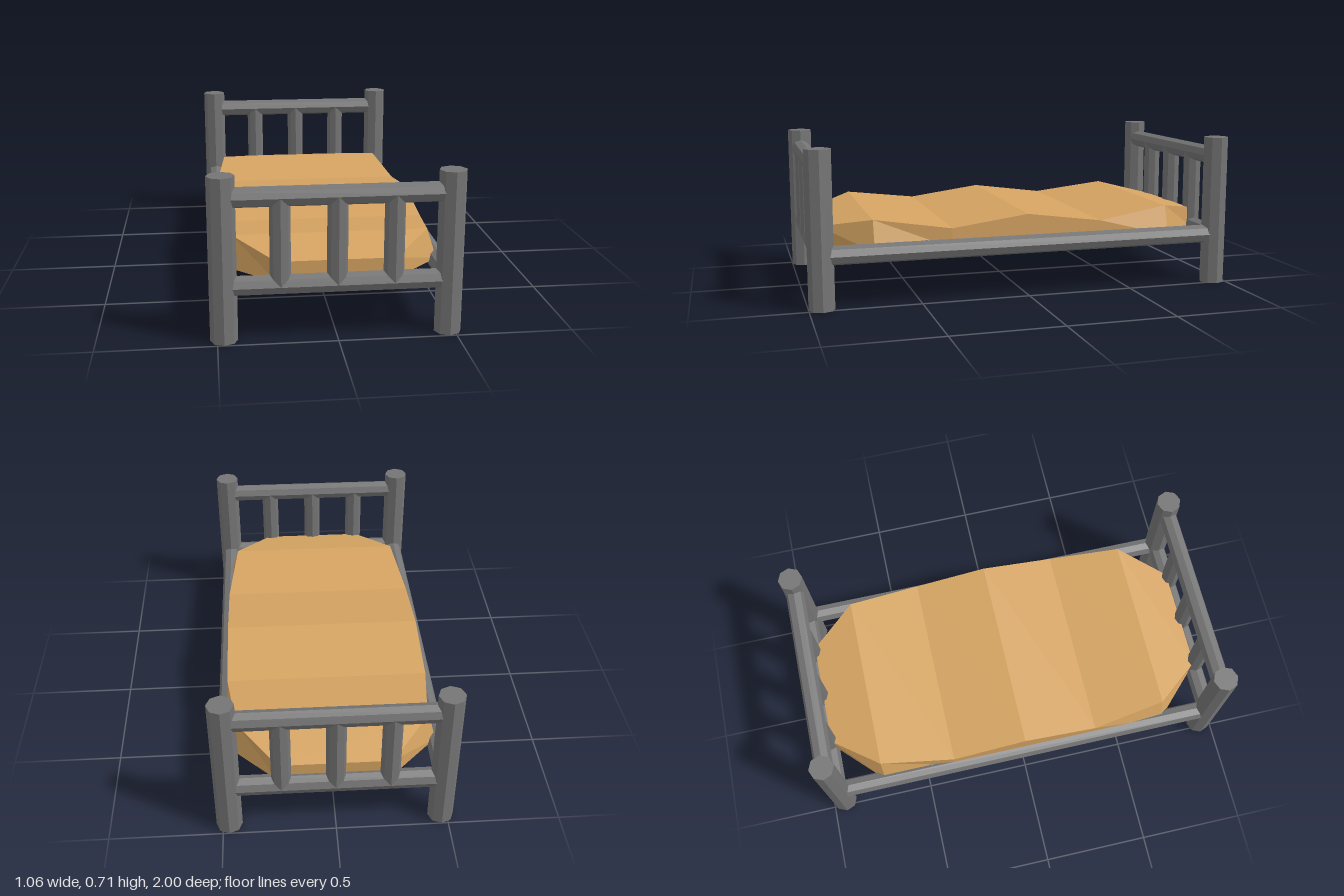
import * as THREE from 'three';

const frameGrey = new THREE.MeshStandardMaterial({ color: 0x757575, flatShading: true });
frameGrey.name = 'frame grey';
const mattressTan = new THREE.MeshStandardMaterial({ color: 0xd4a361, flatShading: true });
mattressTan.name = 'mattress tan';

const X = 0.472, Z = 0.942; // post centres
const POST_R = 0.058, BAR_R = 0.0435;
const LOW_Y = 0.238, HIGH_Y = 0.614;

// Octagonal bar of a given length lying along one axis
function bar(name, radius, length, axis, x, y, z) {
  const geo = new THREE.CylinderGeometry(radius, radius, length, 8);
  if (axis === 'x') geo.rotateZ(Math.PI / 2);
  if (axis === 'z') geo.rotateX(Math.PI / 2);
  const mesh = new THREE.Mesh(geo, frameGrey);
  mesh.name = name;
  mesh.position.set(x, y, z);
  return mesh;
}

// Wavy mattress with cut corners, lofted through rectangular sections
function mattress() {
  const bottom = 0.24;
  // z, half width at bottom, half width at top, top height
  const half = [[0, 0.472, 0.472, 0.378], [0.355, 0.472, 0.472, 0.33],
    [0.705, 0.472, 0.427, 0.378], [0.925, 0.25, 0.25, 0.329]];
  const rows = [...half.slice(1).reverse().map(([z, ...rest]) => [-z, ...rest]), ...half];
  const pos = [], idx = [];
  for (const [z, wb, wt, h] of rows) {
    pos.push(-wb, bottom, z, wb, bottom, z, wt, h, z, -wt, h, z);
  }
  for (let i = 0; i < rows.length - 1; i++) {
    for (let k = 0; k < 4; k++) {
      const a = i * 4 + k, b = i * 4 + (k + 1) % 4;
      idx.push(a, b, b + 4, a, b + 4, a + 4);
    }
  }
  const e = (rows.length - 1) * 4;
  idx.push(0, 2, 1, 0, 3, 2, e, e + 1, e + 2, e, e + 2, e + 3);
  const indexed = new THREE.BufferGeometry();
  indexed.setAttribute('position', new THREE.Float32BufferAttribute(pos, 3));
  indexed.setIndex(idx);
  const geo = indexed.toNonIndexed();
  geo.computeVertexNormals();
  const mesh = new THREE.Mesh(geo, mattressTan);
  mesh.name = 'mattress';
  return mesh;
}

export function createModel() {
  const bed = new THREE.Group();
  bed.name = 'bed';

  // Matching headboard and footboard
  for (const [name, s] of [['footboard', 1], ['headboard', -1]]) {
    const end = new THREE.Group();
    end.name = name;
    for (const side of [-1, 1]) {
      end.add(bar('post', POST_R, 0.706, 'y', side * X, 0.353, s * Z));
    }
    end.add(bar('topRail', BAR_R, 2 * X, 'x', 0, HIGH_Y, s * Z));
    end.add(bar('bottomRail', BAR_R, 2 * X, 'x', 0, LOW_Y, s * Z));
    for (const x of [-0.236, 0, 0.236]) {
      end.add(bar('spindle', BAR_R, HIGH_Y - LOW_Y, 'y', x, (HIGH_Y + LOW_Y) / 2, s * Z));
    }
    bed.add(end);
  }

  // Side rails and the cross slats under the mattress
  for (const side of [-1, 1]) {
    bed.add(bar('sideRail', BAR_R, 2 * Z, 'z', side * X, LOW_Y, 0));
  }
  for (const z of [-0.471, 0, 0.471]) {
    bed.add(bar('slat', BAR_R, 2 * X, 'x', 0, LOW_Y, z));
  }

  bed.add(mattress());
  return bed;
}
